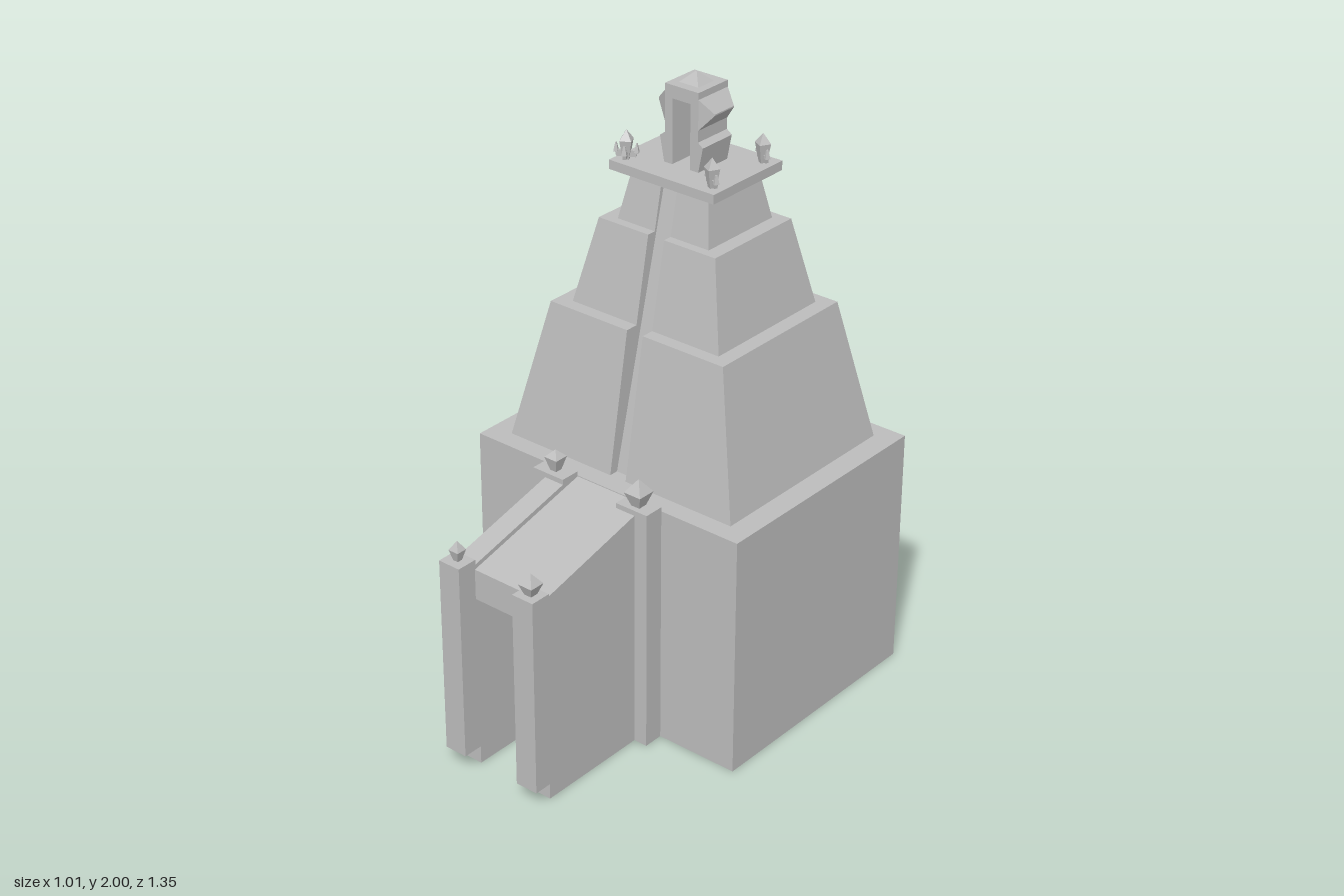
import * as THREE from 'three';

const stone = new THREE.MeshStandardMaterial({ color: 0xbcbcbc, side: THREE.DoubleSide });
stone.name = 'greyStone';

const CZ = -0.263; // centre of the tower in z

// Six-sided solid: corner(sx, sy, sz) gives the position of each box corner.
// side = -1 mirrors it across x. open = true leaves out the bottom face.
function solid(parent, name, corner, side = 1, open = false) {
  const g = new THREE.BoxGeometry(2, 2, 2);
  const p = g.attributes.position;
  for (let i = 0; i < p.count; i++) {
    const c = corner(p.getX(i) * side, p.getY(i), p.getZ(i));
    p.setXYZ(i, c[0] * side, c[1], c[2]);
  }
  if (open) {
    const index = Array.from(g.index.array);
    index.splice(18, 6);
    g.setIndex(index);
    g.clearGroups();
  }
  g.computeVertexNormals();
  const mesh = new THREE.Mesh(g, stone);
  mesh.name = name;
  parent.add(mesh);
  return mesh;
}

// Block between a lower and an upper rectangle [x0, x1, z0, z1].
function block(parent, name, y0, y1, low, high = low, side = 1, open = false) {
  return solid(parent, name, (sx, sy, sz) => {
    const r = sy > 0 ? high : low;
    return [sx > 0 ? r[1] : r[0], sy > 0 ? y1 : y0, sz > 0 ? r[3] : r[2]];
  }, side, open);
}

// Square finial: flared stem with a pyramid cap.
function finial(parent, name, x, y, z, r, stemH, capH) {
  const f = new THREE.Group();
  f.name = name;
  f.position.set(x, y, z);
  const n = r * 0.5;
  block(f, 'stem', 0, stemH, [-n, n, -n, n], [-r, r, -r, r]);
  const cap = new THREE.ConeGeometry(r * Math.SQRT2, capH, 4).rotateY(Math.PI / 4).toNonIndexed();
  cap.computeVertexNormals();
  const mesh = new THREE.Mesh(cap, stone);
  mesh.name = 'cap';
  mesh.position.y = stemH + capH / 2;
  f.add(mesh);
  parent.add(f);
  return f;
}

export function createModel() {
  const model = new THREE.Group();
  model.name = 'temple';

  // Hollow base block
  block(model, 'base', 0, 0.803, [-0.505, 0.505, -0.677, 0.155], undefined, 1, true);

  // Stepped tower, each tier in two halves around a central groove
  const tower = new THREE.Group();
  tower.name = 'tower';
  model.add(tower);
  const tiers = [
    // y0, y1, half x low, half x high, half z low, half z high
    [0.803, 1.26, 0.43, 0.33, 0.354, 0.275],
    [1.26, 1.535, 0.28, 0.22, 0.232, 0.179],
    [1.535, 1.69, 0.172, 0.143, 0.149, 0.118],
  ];
  for (const [y0, y1, x0, x1, z0, z1] of tiers) {
    for (const s of [1, -1]) {
      block(tower, 'tierHalf', y0, y1, [0.03, x0, CZ - z0, CZ + z0], [0.03, x1, CZ - z1, CZ + z1], s);
    }
  }
  block(tower, 'grooveFloor', 0.803, 1.69, [-0.03, 0.03, CZ - 0.323, CZ + 0.323], [-0.03, 0.03, CZ - 0.103, CZ + 0.103]);
  block(tower, 'platform', 1.69, 1.72, [-0.196, 0.196, CZ - 0.16, CZ + 0.16]);

  // Lantern: two posts with side bulges, a lintel and a pyramid
  const lantern = new THREE.Group();
  lantern.name = 'lantern';
  model.add(lantern);
  const D = 0.067;
  for (const s of [1, -1]) {
    block(lantern, 'post', 1.72, 1.925, [0.033, 0.062, CZ - D, CZ + D], undefined, s);
    solid(lantern, 'upperBulge', (sx, sy, sz) => sx > 0
      ? [0.104, 1.902 + sy * 0.002, CZ + sz * 0.044]
      : [0.062, sy > 0 ? 1.945 : 1.85, CZ + sz * D], s);
    solid(lantern, 'lowerBulge', (sx, sy, sz) => sx > 0
      ? [sy > 0 ? 0.08 : 0.064, sy > 0 ? 1.8 : 1.72, CZ + sz * D]
      : [0.06, sy > 0 ? 1.815 : 1.72, CZ + sz * D], s);
  }
  block(lantern, 'lintel', 1.925, 1.966, [-0.062, 0.062, CZ - D, CZ + D]);
  const tip = new THREE.ConeGeometry(0.05, 0.034, 4).rotateY(Math.PI / 4).toNonIndexed();
  tip.computeVertexNormals();
  const tipMesh = new THREE.Mesh(tip, stone);
  tipMesh.name = 'roofPyramid';
  tipMesh.position.set(0, 1.983, CZ);
  lantern.add(tipMesh);

  // Corner ornaments: finial with small knobbed arms
  for (const x of [-0.162, 0.158]) {
    for (const z of [-0.378, -0.142]) {
      const o = finial(model, 'cornerOrnament', x, 1.72, z, 0.018, 0.06, 0.032);
      o.rotation.y = x * z > 0 ? 0.5 : -0.5;
      const arms = x * z > 0 ? [0, 1, 2, 3] : [0, 2];
      for (const k of arms) {
        const arm = new THREE.Group();
        arm.name = 'arm';
        arm.rotation.y = k * Math.PI / 2;
        block(arm, 'armBar', 0.008, 0.028, [0.005, 0.03, -0.005, 0.005], [0.005, 0.034, -0.005, 0.005]);
        block(arm, 'armKnob', 0.022, 0.05, [0.024, 0.038, -0.008, 0.008], [0.029, 0.033, -0.003, 0.003]);
        o.add(arm);
      }
    }
  }

  // Porch: side walls with sloping tops and a recessed sloping roof
  const porch = new THREE.Group();
  porch.name = 'porch';
  model.add(porch);
  for (const s of [1, -1]) {
    solid(porch, 'sideWall', (sx, sy, sz) => [
      sx > 0 ? 0.175 : 0.104,
      sy < 0 ? 0 : sz > 0 ? 0.703 : 0.817,
      sz > 0 ? 0.61 : 0.155,
    ], s, true);
    block(porch, 'rearPillar', 0, 0.817, [0.104, 0.222, 0.155, 0.222], undefined, s, true);
    block(porch, 'frontPillar', 0.06, 0.72, [0.104, 0.182, 0.607, 0.677], undefined, s, true);
  }
  solid(porch, 'roof', (sx, sy, sz) => [
    sx * 0.104,
    (sy > 0 ? 0.688 : 0.587) + (sz > 0 ? 0 : 0.112),
    sz > 0 ? 0.61 : 0.155,
  ]);

  // Pillar finials, the left ones larger
  finial(porch, 'rearFinial', 0.163, 0.817, 0.188, 0.031, 0.045, 0.043);
  finial(porch, 'rearFinial', -0.162, 0.817, 0.188, 0.024, 0.045, 0.024);
  finial(porch, 'frontFinial', 0.143, 0.72, 0.64, 0.026, 0.035, 0.035);
  finial(porch, 'frontFinial', -0.143, 0.72, 0.64, 0.018, 0.035, 0.03);

  return model;
}
